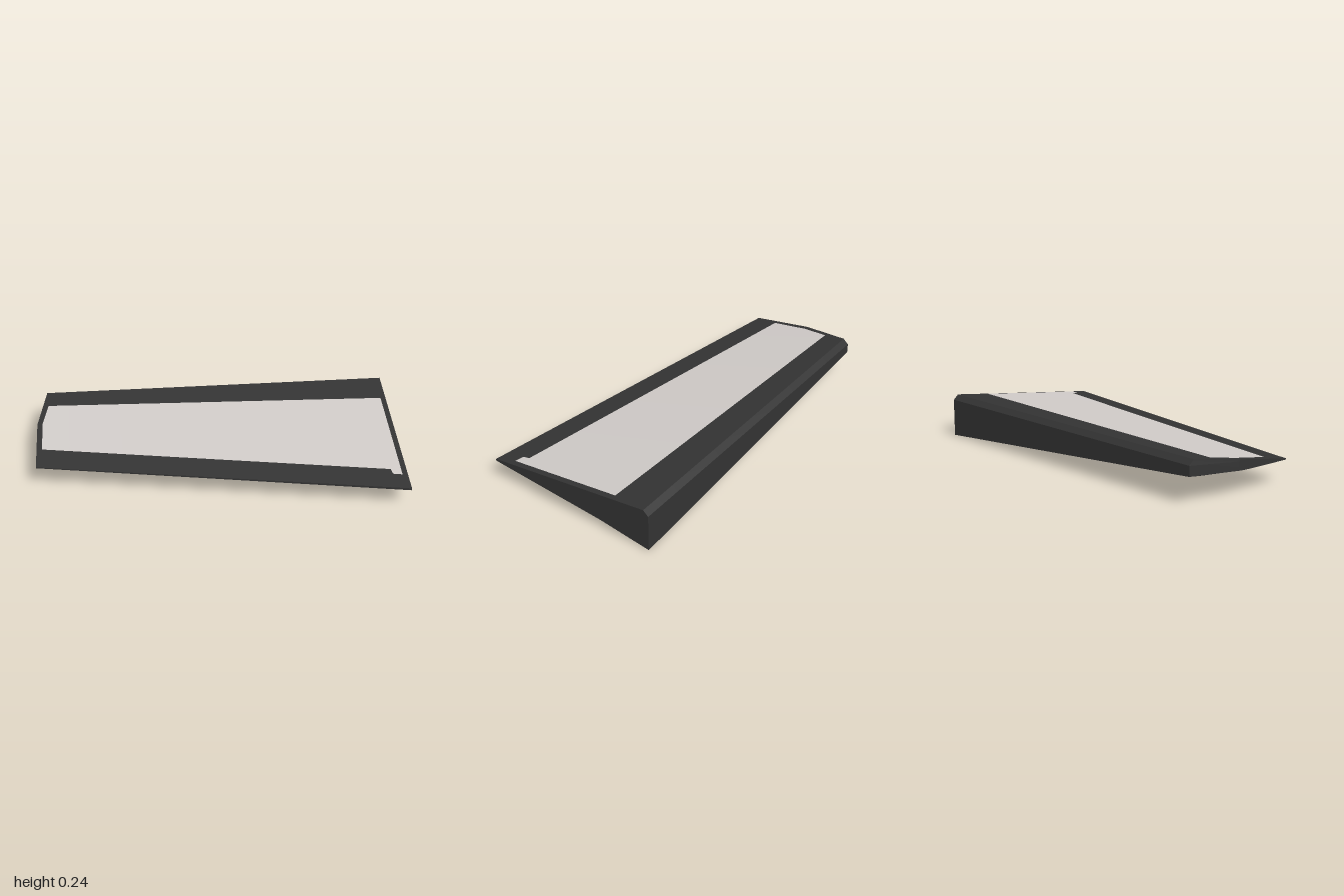
import * as THREE from 'three';
import { toCreasedNormals } from 'three/addons/utils/BufferGeometryUtils.js';

const lerp = THREE.MathUtils.lerp;
const frontZ = (x) => 0.325 + 0.175 * x;
const frontY = (x) => 0.126 - 0.004 * x;
const rearY = (x) => 0.234 + 0.006 * x;

// Height of the sloping top face
function topY(x, z) {
  const t = (frontZ(x) - z) / (frontZ(x) + 0.47);
  return lerp(frontY(x), rearY(x), t);
}

// Wedge cross-section at x: front edge, underside, rear wall, top ridge
function section(x) {
  const t = (1 - x) / 1.95;
  return [
    [x, frontY(x), frontZ(x)],
    [x, frontY(x) - lerp(0.012, 0.006, t), frontZ(x)],
    [x, lerp(0.11, 0.126, t), lerp(0.49, -0.2, t)],
    [x, lerp(0.045, 0.136, t), lerp(-0.2, -0.42, t)],
    [x, lerp(0, 0.145, t), -0.5],
    [x, rearY(x) - 0.028, -0.5],
    [x, rearY(x), -0.47],
  ];
}

function toGeometry(points) {
  const g = new THREE.BufferGeometry();
  g.setAttribute('position', new THREE.Float32BufferAttribute(points.flat(), 3));
  return g;
}

function bodyGeometry() {
  const sections = [];
  const steps = 16;
  for (let i = 0; i <= steps; i++) sections.push(section(lerp(1, -0.95, i / steps)));
  // Clipped narrow end
  sections.push([
    [-1, 0.13, 0.15], [-1, 0.124, 0.15], [-1, 0.126, -0.1], [-1, 0.128, -0.17],
    [-1, 0.13, -0.2], [-1, 0.177, -0.2], [-1, 0.187, -0.195],
  ]);
  const tris = [];
  const n = sections[0].length;
  for (let s = 0; s < sections.length - 1; s++) {
    const a = sections[s], b = sections[s + 1];
    for (let i = 0; i < n; i++) {
      const j = (i + 1) % n;
      tris.push(a[i], b[i], a[j], b[i], b[j], a[j]);
    }
  }
  // End caps, fanned from the top ridge
  const first = sections[0], last = sections[sections.length - 1];
  for (let i = 0; i < n - 2; i++) {
    tris.push(first[n - 1], first[i], first[i + 1]);
    tris.push(last[n - 1], last[i + 1], last[i]);
  }
  return toCreasedNormals(toGeometry(tris), 0.15);
}

function panelGeometry() {
  // Columns of [x, rear z, front z]
  const columns = [[-0.97, -0.2, 0.015], [-0.94, -0.35, 0.02]];
  for (let i = 1; i <= 12; i++) {
    const t = i / 12;
    columns.push([lerp(-0.94, 0.915, t), lerp(-0.35, -0.277, t), lerp(0.02, 0.342, t)]);
  }
  // Small tab at the wide front corner
  columns.push([0.92, -0.277, 0.38], [0.97, -0.275, 0.39]);
  const at = (x, z) => [x, topY(x, z) + 0.004, z];
  const tris = [];
  for (let i = 0; i < columns.length - 1; i++) {
    const [x0, r0, f0] = columns[i], [x1, r1, f1] = columns[i + 1];
    tris.push(at(x0, f0), at(x1, f1), at(x0, r0));
    tris.push(at(x1, f1), at(x1, r1), at(x0, r0));
  }
  return toCreasedNormals(toGeometry(tris), 0.5);
}

export function createModel() {
  const dark = new THREE.MeshStandardMaterial({ color: 0x333333 });
  dark.name = 'charcoal';
  const light = new THREE.MeshStandardMaterial({ color: 0xcfcac7 });
  light.name = 'pale grey';

  const body = new THREE.Mesh(bodyGeometry(), dark);
  body.name = 'wedgeBody';
  const panel = new THREE.Mesh(panelGeometry(), light);
  panel.name = 'topPanel';

  const group = new THREE.Group();
  group.name = 'wedge';
  group.add(body, panel);
  return group;
}
